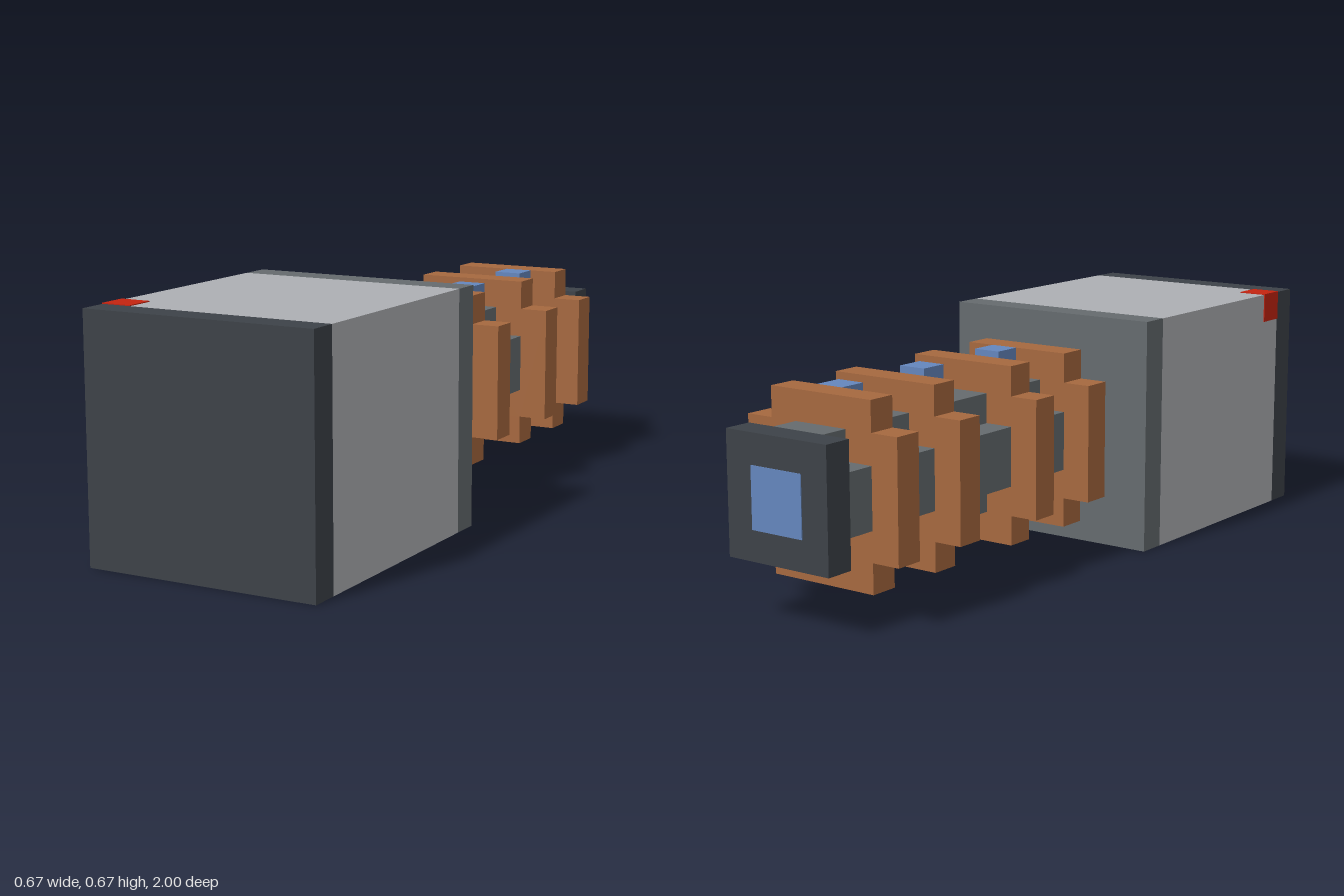
import * as THREE from 'three';

const U = 1 / 12; // one block
const CY = 4 * U; // height of the long axis

const mat = (name, color) => {
  const m = new THREE.MeshStandardMaterial({ color });
  m.name = name;
  return m;
};

export function createModel() {
  const group = new THREE.Group();
  const silver = mat('silver', 0xadafb3);
  const grey = mat('grey', 0x656b6e);
  const dark = mat('dark steel', 0x3d4248);
  const copper = mat('copper', 0xa6683f);
  const blue = mat('blue', 0x6486bd);
  const red = mat('red', 0xc42410);

  const add = (name, geometry, material, x, y, z) => {
    const mesh = new THREE.Mesh(geometry, material);
    mesh.name = name;
    mesh.position.set(x, y, z);
    group.add(mesh);
  };

  // Box given by centre x, y, size and its z range, all in blocks
  const box = (name, material, x, y, w, h, z0, z1) =>
    add(name, new THREE.BoxGeometry(w * U, h * U, (z1 - z0) * U), material,
      x * U, y * U, (z0 + z1) / 2 * U);

  // Square bar with one block cut from each corner, running along z
  const notchedBar = (name, material, half, z0, z1) => {
    const a = half * U, b = (half - 1) * U;
    const outline = [[a, -b], [a, b], [b, b], [b, a], [-b, a], [-b, b],
      [-a, b], [-a, -b], [-b, -b], [-b, -a], [b, -a], [b, -b]];
    const shape = new THREE.Shape(outline.map(([x, y]) => new THREE.Vector2(x, y)));
    const geometry = new THREE.ExtrudeGeometry(shape, { depth: (z1 - z0) * U, bevelEnabled: false });
    add(name, geometry, material, 0, CY, z0 * U);
  };

  // Head block with end plates
  box('headBackPlate', grey, 0, 4, 8, 8, 2, 3);
  box('headBody', silver, 0, 4, 8, 8, 3, 11);
  box('headFrontPlate', dark, 0, 4, 8, 8, 11, 12);

  // Red corner marker, standing just proud of the top and right side
  const p = 0.03;
  box('cornerMarker', red, -3.5 - p / 2, 7.5 + p / 2, 1 + p, 1 + p, 10, 11);

  // Shaft, coil rings and studs
  notchedBar('shaft', grey, 2, -11, 2);
  for (const z of [0, -3, -7, -10]) notchedBar('coilRing', copper, 3, z, z + 1);
  for (const z of [-1, -5, -9]) box('stud', blue, 0.5, 6.5, 1, 1, z, z + 1);

  // End cap with its inset panel
  box('endCap', dark, 0, 4, 4, 4, -12, -11);
  box('endPanel', blue, 0, 4, 2, 2, -12 - p, -12);

  return group;
}
